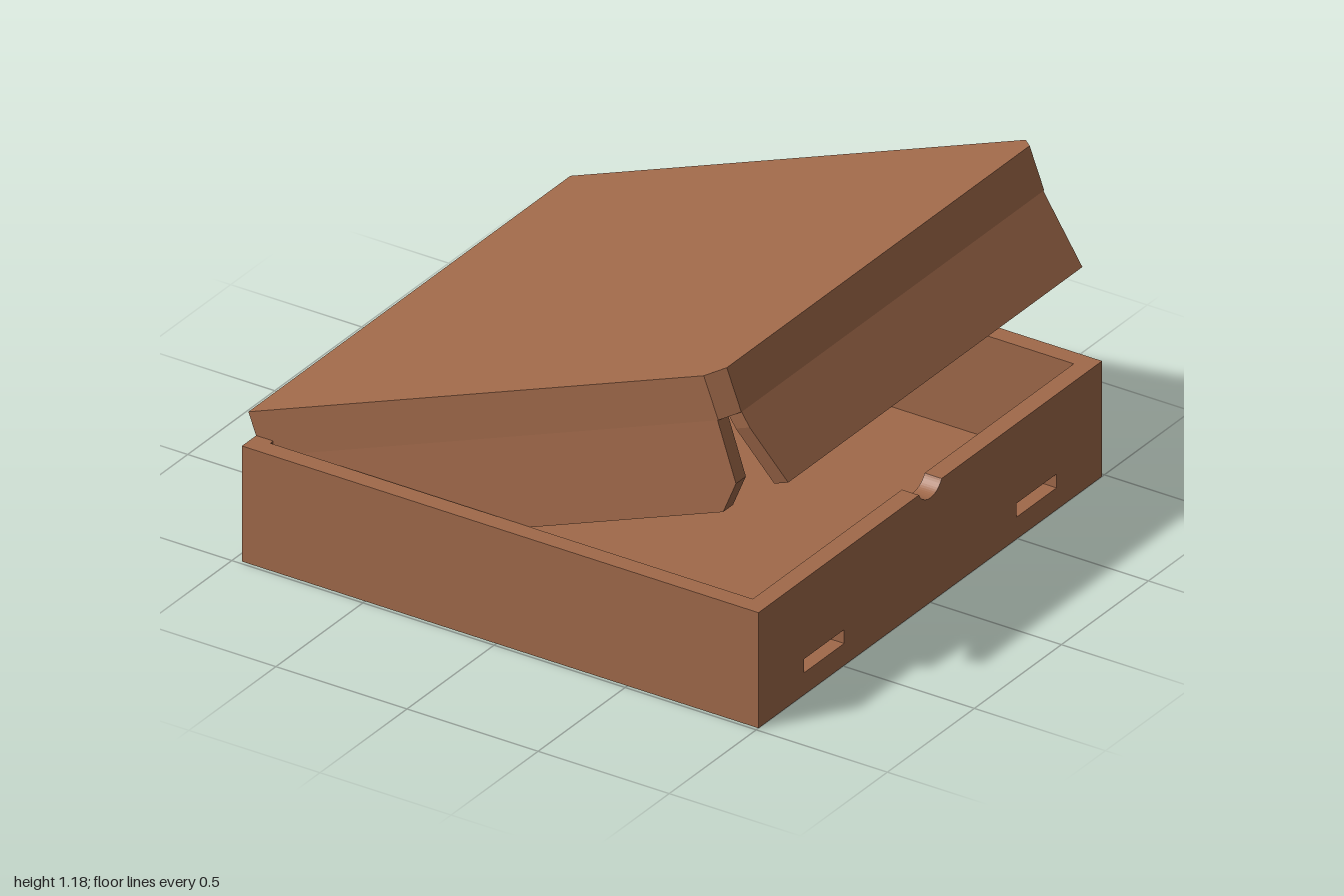
import * as THREE from 'three';

const T = 0.057;      // board thickness
const WALL = 0.065;   // folded tray wall thickness
const RIM = 0.155;    // depth of the lid rim before the flaps start
const H = 0.42, X0 = -0.97, X1 = 1, Z = 0.987;

const cardboard = new THREE.MeshStandardMaterial({ color: 0xa0694a });
cardboard.name = 'cardboard';

const poly = (pts) => new THREE.Shape(pts.map(([a, b]) => new THREE.Vector2(a, b)));
const pathOf = (pts) => new THREE.Path(pts.map(([a, b]) => new THREE.Vector2(a, b)));
const extrude = (shape, depth) =>
  new THREE.ExtrudeGeometry(shape, { depth, bevelEnabled: false, curveSegments: 10 });

function add(group, name, geometry, x = 0, y = 0, z = 0) {
  const mesh = new THREE.Mesh(geometry, cardboard);
  mesh.name = name;
  mesh.position.set(x, y, z);
  group.add(mesh);
  return mesh;
}

// Moves vertices sideways in proportion to their depth below the rim
function flare(geometry, axis, amount) {
  const p = geometry.attributes.position;
  for (let i = 0; i < p.count; i++) {
    const shift = amount * (-p.getY(i) - RIM);
    if (axis === 'x') p.setX(i, p.getX(i) + shift);
    else p.setZ(i, p.getZ(i) + shift);
  }
  geometry.computeVertexNormals();
  return geometry;
}

function createTray() {
  const tray = new THREE.Group();
  tray.name = 'tray';
  const length = X1 - X0 - 2 * WALL, mid = (X0 + X1) / 2;

  add(tray, 'floor', new THREE.BoxGeometry(length, 0.05, 2 * (Z - WALL)), mid, 0.025, 0);
  for (const s of [-1, 1]) {
    add(tray, s > 0 ? 'frontWall' : 'backWall',
      new THREE.BoxGeometry(length, H, WALL), mid, H / 2, s * (Z - WALL / 2));
  }

  // Opening end: thumb notch in the top edge and two tab slots
  const open = new THREE.Shape();
  const r = 0.073, cy = H + 0.033, a = Math.asin(0.033 / r);
  open.moveTo(-Z, 0);
  open.lineTo(Z, 0);
  open.lineTo(Z, H);
  open.lineTo(r * Math.cos(a), H);
  open.absarc(0, cy, r, -a, -Math.PI + a, true);
  open.lineTo(-Z, H);
  open.closePath();
  for (const s of [-1, 1]) {
    open.holes.push(pathOf([[s * 0.495, 0.08], [s * 0.495, 0.13], [s * 0.725, 0.13], [s * 0.725, 0.08]]));
  }
  add(tray, 'openingWall', extrude(open, WALL).rotateY(Math.PI / 2), X1 - WALL);

  // Hinge end: two round vents
  const hinge = poly([[-Z, 0], [Z, 0], [Z, H], [-Z, H]]);
  for (const s of [-1, 1]) {
    const hole = new THREE.Path();
    hole.absarc(s * 0.61, 0.24, 0.046, 0, Math.PI * 2, true);
    hinge.holes.push(hole);
  }
  add(tray, 'hingeWall', extrude(hinge, WALL).rotateY(Math.PI / 2), X0);
  return tray;
}

function createLid() {
  const lid = new THREE.Group();
  lid.name = 'lid';
  const zb = -0.945, zf = 0.905, end = 1.915, c = 0.055;

  // Outline with the two opening-end corners cut off, inset by d
  const outline = (d) => {
    const k = c + d * 0.41 - d + d;
    return [[d, zb + d], [end - k, zb + d], [end - d, zb + k],
      [end - d, zf - k], [end - k, zf - d], [d, zf - d]];
  };
  add(lid, 'lidTop', extrude(poly(outline(0)), T).rotateX(Math.PI / 2));
  const rim = poly(outline(0));
  rim.holes.push(pathOf(outline(T).reverse()));
  add(lid, 'lidRim', extrude(rim, RIM - T).rotateX(Math.PI / 2), 0, -T);

  // Long side flaps that tuck inside the tray
  const side = [[0.06, -RIM], [0.1, -0.462], [1.773, -0.462], [1.857, -0.371], [1.857, -RIM]];
  add(lid, 'frontSideFlap', flare(extrude(poly(side), T), 'z', 0.05), 0, 0, zf - T);
  add(lid, 'backSideFlap', flare(extrude(poly(side), T), 'z', -0.05), 0, 0, zb);

  // End flap, drawn in (-z, y), leaning outwards
  const flap = poly([[-0.848, -RIM], [-0.848, -0.21], [-0.805, -0.424], [0.885, -0.424], [0.885, -RIM]]);
  const flapGeometry = extrude(flap, T).rotateY(Math.PI / 2);
  add(lid, 'endFlap', flare(flapGeometry, 'x', 0.21), end - T);

  lid.position.set(-1, 0.497, 0);
  lid.rotation.z = THREE.MathUtils.degToRad(20.97);
  return lid;
}

export function createModel() {
  const model = new THREE.Group();
  model.name = 'cardboardBox';
  model.add(createTray(), createLid());
  return model;
}
